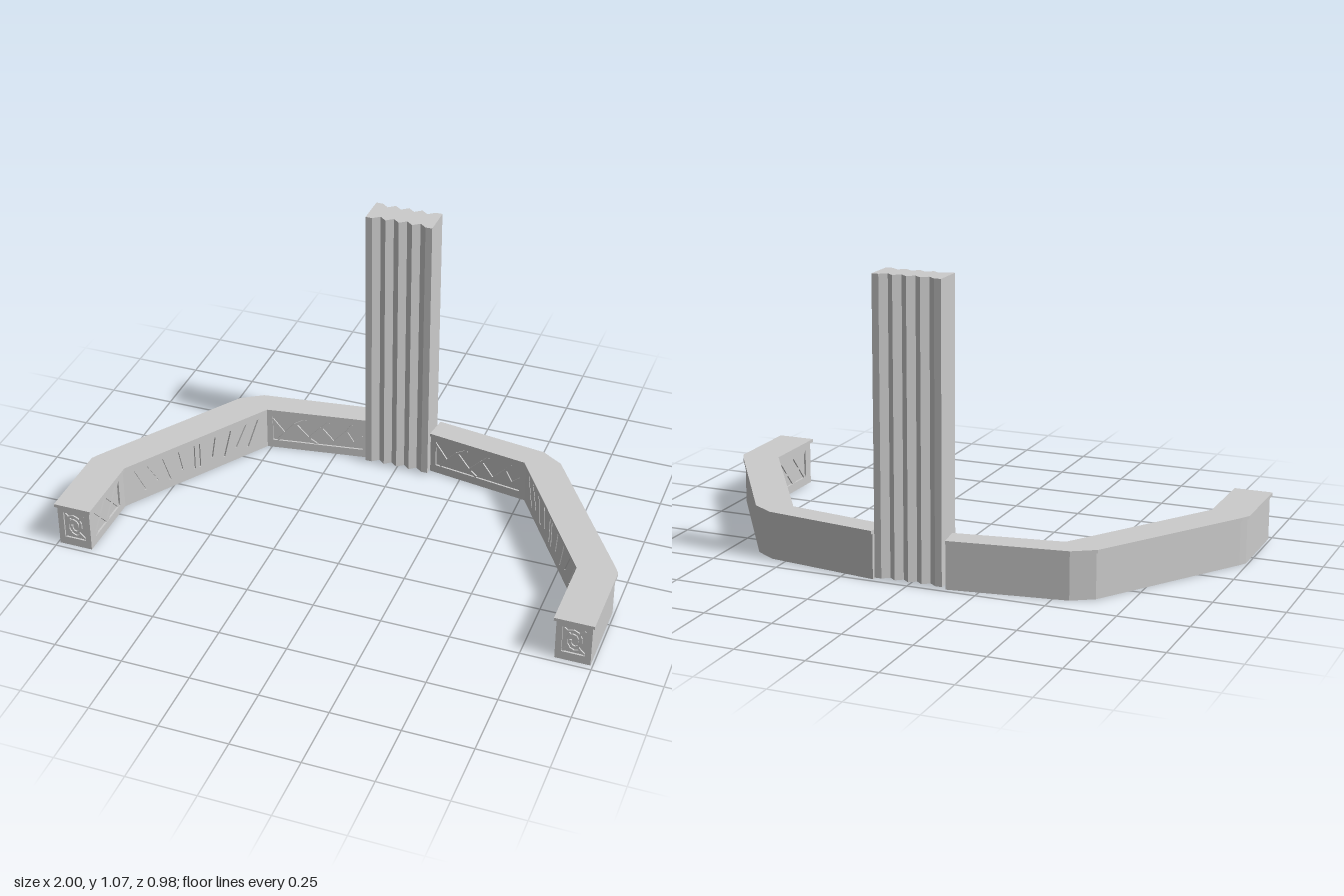
import * as THREE from 'three';

const mat = new THREE.MeshStandardMaterial({ color: 0xcccccc, flatShading: true });
const CAP_BASE = 0.163, TOP = 0.175, RECESS = 0.007, LIP = 0.008;

// Plan of one wall's cap as [x, z]; the first four edges carry ornament.
const PLAN = [
  [0.125, -0.4], [0.512, -0.34], [0.858, 0.2], [0.858, 0.487], [1, 0.487],
  [1, 0.18], [0.983, 0.15], [0.64, -0.38], [0.56, -0.43], [0.137, -0.49],
];

function mesh(geometry, name) {
  const m = new THREE.Mesh(geometry, mat);
  m.name = name;
  return m;
}

// Move every edge of a plan inwards by its own distance and re-join the corners.
function inset(plan, distance) {
  const n = plan.length;
  const edges = plan.map((a, i) => {
    const b = plan[(i + 1) % n];
    const len = Math.hypot(b[0] - a[0], b[1] - a[1]);
    const u = [(b[0] - a[0]) / len, (b[1] - a[1]) / len];
    const d = distance(i);
    return { p: [a[0] + u[1] * d, a[1] - u[0] * d], u };
  });
  return edges.map((e, i) => {
    const f = edges[(i + n - 1) % n];
    const cross = f.u[0] * e.u[1] - f.u[1] * e.u[0];
    const t = ((e.p[0] - f.p[0]) * e.u[1] - (e.p[1] - f.p[1]) * e.u[0]) / cross;
    return [f.p[0] + f.u[0] * t, f.p[1] + f.u[1] * t];
  });
}

// Upright prism over a plan.
function prism(plan, y0, y1, name) {
  const shape = new THREE.Shape(plan.map(([x, z]) => new THREE.Vector2(x, -z)));
  const g = new THREE.ExtrudeGeometry(shape, { depth: y1 - y0, bevelEnabled: false });
  g.rotateX(-Math.PI / 2).translate(0, y0, 0);
  return mesh(g, name);
}

// Raised strips along a polyline lying in a panel's plane.
function strips(points, width, name) {
  const group = new THREE.Group();
  group.name = name;
  for (let i = 1; i < points.length; i++) {
    const [ax, ay] = points[i - 1], [bx, by] = points[i];
    const bar = mesh(new THREE.BoxGeometry(Math.hypot(bx - ax, by - ay) + width * 0.6, width, RECESS * 0.8), 'strip');
    bar.position.set((ax + bx) / 2, (ay + by) / 2, -RECESS * 0.6);
    bar.rotation.z = Math.atan2(by - ay, bx - ax);
    group.add(bar);
  }
  return group;
}

const hole = (pts) => new THREE.Path(pts.map(([x, y]) => new THREE.Vector2(x, y)));

// Panel facing on the edge a to b: a plate with openings, and strips inside them.
function facing(a, b, kind) {
  const dx = b[0] - a[0], dz = b[1] - a[1], L = Math.hypot(dx, dz);
  const group = new THREE.Group();
  group.name = kind + 'Panel';
  group.position.set(a[0], 0, a[1]);
  group.rotation.y = Math.atan2(-dz, dx);

  const plate = new THREE.Shape([[0, 0], [L, 0], [L, CAP_BASE], [0, CAP_BASE]].map(p => new THREE.Vector2(...p)));
  const m = kind === 'end' ? 0.022 : kind === 'cross' ? 0.04 : 0.022;
  const x0 = m, x1 = L - m, y0 = 0.033, y1 = 0.14, w = x1 - x0, h = y1 - y0;
  const at = ([u, v]) => [x0 + u * w, y0 + v * h];

  if (kind === 'slotted') {
    // Narrow slots fanning out from two upright ones
    for (const side of [-1, 1]) {
      for (let i = 0; i < 5; i++) {
        const x = L / 2 + side * (0.012 + i * 0.055), lean = side * Math.min(i, 3) * 0.016;
        const low = i % 2 ? 0.055 : 0.035, t = 0.0035;
        plate.holes.push(hole([[x - t, low], [x + t, low], [x + lean + t, y1], [x + lean - t, y1]]));
      }
    }
  } else {
    plate.holes.push(hole([[x0, y0], [x1, y0], [x1, y1], [x0, y1]]));
  }
  const g = new THREE.ExtrudeGeometry(plate, { depth: RECESS, bevelEnabled: false });
  g.translate(0, 0, -RECESS);
  group.add(mesh(g, 'panelFrame'));

  if (kind === 'zigzag') {
    const main = [[0, 0.85], [0.13, 0.3], [0.25, 0.75], [0.4, 0.2], [0.54, 0.7], [0.68, 0.15], [0.82, 0.65], [0.9, 0.2], [1, 0.5]];
    group.add(strips(main.map(at), 0.011, 'zigzag'));
    for (const branch of [[[0.13, 0.3], [0.06, 0.03]], [[0.25, 0.75], [0.36, 0.97]], [[0.54, 0.7], [0.62, 0.97]], [[0.4, 0.2], [0.48, 0.03]], [[0.82, 0.65], [0.88, 0.97]]])
      group.add(strips(branch.map(at), 0.009, 'branch'));
  } else if (kind === 'cross') {
    for (let i = 0; i < 2; i++) {
      const l = 0.04 + i * 0.48, r = l + 0.44;
      group.add(strips([[l, 0.03], [r, 0.97]].map(at), 0.012, 'crossBar'));
      group.add(strips([[l, 0.97], [r, 0.03]].map(at), 0.012, 'crossBar'));
    }
  } else if (kind === 'end') {
    // Scroll of curling strips
    for (const k of [0, 1]) {
      const curl = [];
      for (let i = 0; i <= 9; i++) {
        const t = i * 0.6 + k * Math.PI, r = 0.14 + i * 0.033;
        curl.push(at([0.5 + Math.cos(t) * r, 0.5 + Math.sin(t) * r]));
      }
      group.add(strips(curl, 0.007, 'scroll'));
    }
    for (const c of [[[0.05, 0.95], [0.3, 0.75]], [[0.95, 0.95], [0.7, 0.75]], [[0.05, 0.05], [0.3, 0.25]], [[0.95, 0.05], [0.7, 0.25]]])
      group.add(strips(c.map(at), 0.007, 'scrollCorner'));
  }
  return group;
}

// One angled wall; side is +1 for left, -1 for right.
function wall(side, name) {
  const flip = (plan) => plan.map(([x, z]) => [x * side, z]);
  const last = PLAN.length - 1;
  const facePlan = flip(inset(PLAN, i => (i === last ? 0 : LIP)));
  const core = flip(inset(PLAN, i => (i === last ? 0 : i < 4 ? LIP + RECESS : LIP)));
  const group = new THREE.Group();
  group.name = name;
  group.add(prism(core, 0, CAP_BASE, 'wallBody'), prism(flip(PLAN), CAP_BASE, TOP, 'wallCap'));
  ['zigzag', 'slotted', 'cross', 'end'].forEach((kind, i) => {
    const a = facePlan[i], b = facePlan[i + 1];
    group.add(side > 0 ? facing(a, b, kind) : facing(b, a, kind));
  });
  return group;
}

// Tall pillar with V-shaped flutes on its front and back.
function pillar() {
  const front = [], back = [];
  for (let i = -5; i <= 5; i++) {
    const groove = Math.abs(i) % 2 === 1 && Math.abs(i) < 5 ? 0.02 : 0;
    front.push([i * 0.025, -0.375 - groove]);
    back.unshift([i * 0.025, -0.49 + groove]);
  }
  return prism([...front, ...back], 0.01, 1.066, 'pillar');
}

export function createModel() {
  const model = new THREE.Group();
  model.name = 'wallWithPillar';
  model.add(pillar(), wall(1, 'leftWall'), wall(-1, 'rightWall'));
  return model;
}
